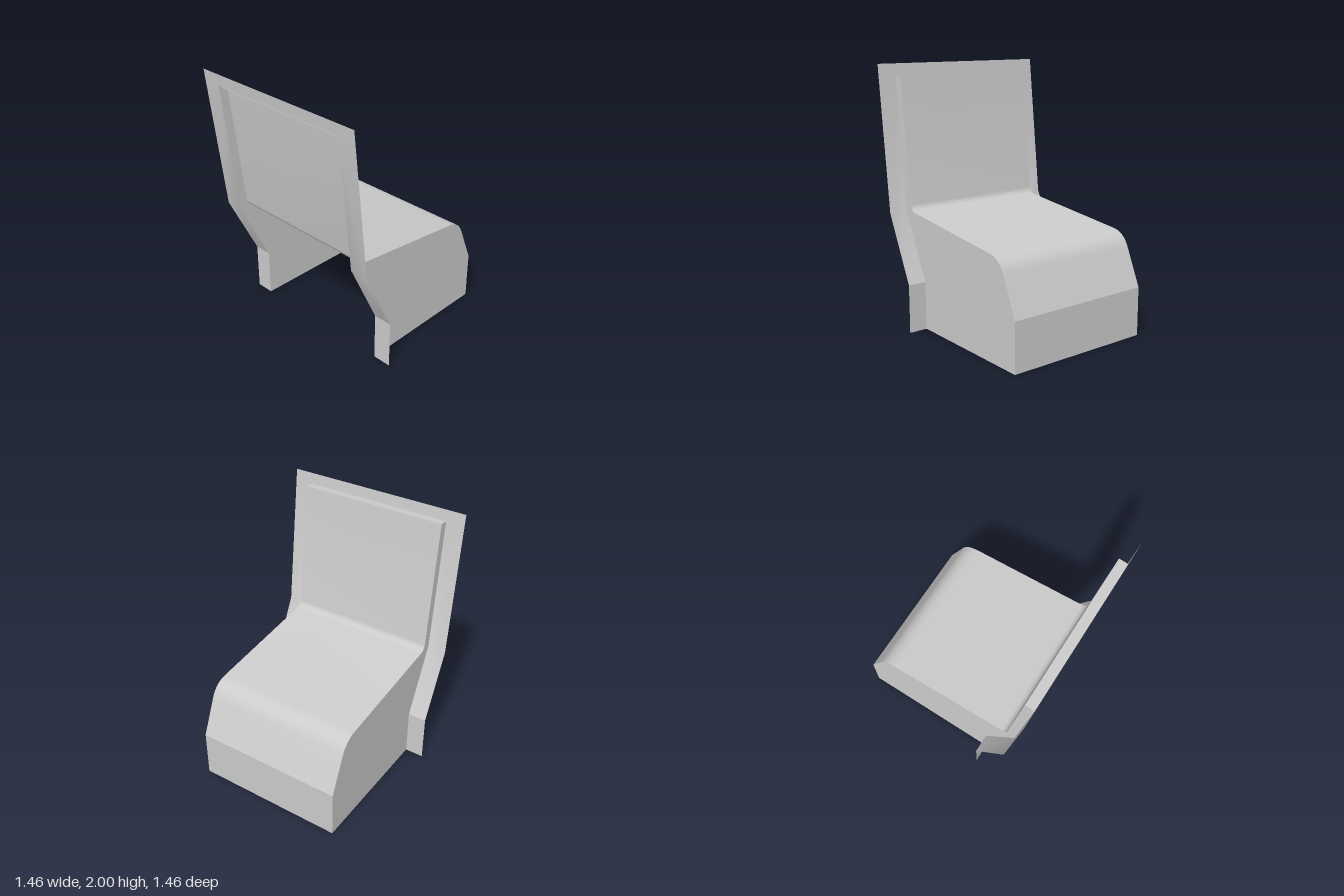
import * as THREE from 'three';
import { toCreasedNormals } from 'three/addons/utils/BufferGeometryUtils.js';

const HALF = 0.585;  // half width of the seat shell
const OUTER = 0.73;  // half width of the rear flange

const material = new THREE.MeshStandardMaterial({ color: 0xcccccc, side: THREE.DoubleSide });

function addMesh(group, name, geometry) {
  const mesh = new THREE.Mesh(geometry, material);
  mesh.name = name;
  group.add(mesh);
  return mesh;
}

// Sheet that follows a (z, y) profile between two x positions
function sheet(profile, x0, x1) {
  const geometry = new THREE.PlaneGeometry(1, 1, 1, profile.length - 1);
  const pos = geometry.attributes.position;
  profile.forEach((p, i) => {
    pos.setXYZ(i * 2, x0, p.y, p.x);
    pos.setXYZ(i * 2 + 1, x1, p.y, p.x);
  });
  return toCreasedNormals(geometry, 0.35);
}

const points = (list) => list.map(([z, y]) => new THREE.Vector2(z, y));

export function createModel() {
  const group = new THREE.Group();
  group.name = 'seatShell';

  // Upholstery line: backrest, rounded crease, seat, rounded nose, front panel
  const path = new THREE.Path();
  path.moveTo(0.65, 1.92);
  path.lineTo(0.547, 0.95);
  path.quadraticCurveTo(0.54, 0.894, 0.49, 0.888);
  path.lineTo(-0.46, 0.777);
  path.quadraticCurveTo(-0.56, 0.763, -0.605, 0.665);
  path.lineTo(-0.73, 0.375);
  path.lineTo(-0.73, 0);
  const seatLine = path.getPoints(12);

  // Rear line, from the floor to the top of the backrest
  const rearLine = points([[0.365, 0], [0.365, 0.375], [0.61, 0.885], [0.72, 1.915]]);

  addMesh(group, 'seatAndBackrest', sheet(seatLine, -HALF, HALF));
  addMesh(group, 'topLedge', sheet(points([[0.65, 1.92], [0.72, 1.915]]), -HALF, HALF));

  // Side panels and the flange strips beside them
  const sideShape = new THREE.Shape([...seatLine, ...rearLine]);
  for (const [side, s] of [['left', 1], ['right', -1]]) {
    const panel = new THREE.ShapeGeometry(sideShape).rotateY(-Math.PI / 2);
    addMesh(group, side + 'SidePanel', panel).position.x = s * HALF;
    addMesh(group, side + 'Flange', sheet(rearLine, s * HALF, s * OUTER));
  }
  addMesh(group, 'topFlange', sheet(points([[0.72, 1.915], [0.729, 2]]), -OUTER, OUTER));

  // Lip inside the top of the backrest and thin plate under the seat
  addMesh(group, 'topLip', sheet(points([[0.69, 1.885], [0.69, 1.917]]), -HALF, HALF));
  addMesh(group, 'underseatPlate', new THREE.BoxGeometry(0.84, 0.016, 0.4)).position.set(0, 0.817, 0.15);

  return group;
}
